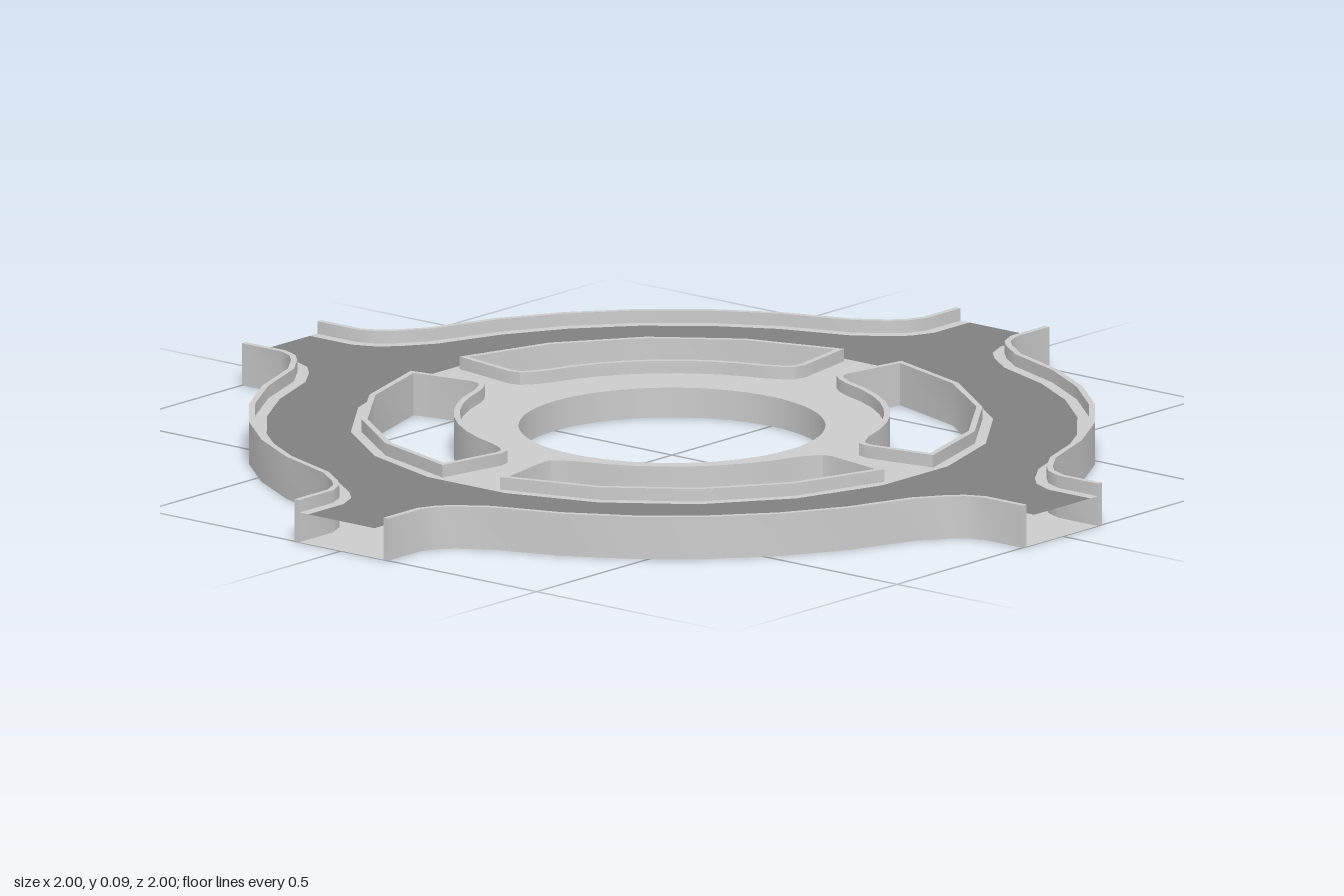
import * as THREE from 'three';
import { toCreasedNormals } from 'three/addons/utils/BufferGeometryUtils.js';

const DECK = 0.06, TOP = 0.085, RIM = 0.012;
const V = (x, y) => new THREE.Vector2(x, y);
const grey = new THREE.MeshStandardMaterial({ color: 0xcccccc, side: THREE.DoubleSide });
const dark = new THREE.MeshStandardMaterial({ color: 0x808080, side: THREE.DoubleSide });

// Points on an arc, angles in degrees
function arc(r, a0, a1, n) {
  return Array.from({ length: n + 1 }, (_, i) => {
    const a = THREE.MathUtils.degToRad(a0 + (a1 - a0) * i / n);
    return V(r * Math.cos(a), r * Math.sin(a));
  });
}

// Shift a polyline to its left by d, with mitred corners
function offset(pts, d, closed = false) {
  const n = pts.length;
  const normal = (i) => {
    const e = pts[(i + 1) % n].clone().sub(pts[(i + n) % n]).normalize();
    return V(-e.y, e.x);
  };
  return pts.map((p, i) => {
    const before = closed || i > 0 ? normal((i - 1 + n) % n) : normal(0);
    const after = closed || i < n - 1 ? normal(i) : before;
    return p.clone().addScaledVector(before.clone().add(after), d / (1 + before.dot(after)));
  });
}

const turn = (pts, q) => pts.map((p) => p.clone().rotateAround(V(0, 0), q * Math.PI / 2));
const allRound = (pts) => [0, 1, 2, 3].flatMap((q) => turn(pts, q));

function shape(pts, holes = []) {
  const s = new THREE.Shape(pts);
  s.holes = holes.map((h) => new THREE.Path(h));
  return s;
}

function add(group, name, geometry, material, y = 0) {
  const mesh = new THREE.Mesh(geometry, material);
  mesh.name = name;
  mesh.position.y = y;
  group.add(mesh);
}

const flat = (s) => new THREE.ShapeGeometry(s).rotateX(-Math.PI / 2);
const wall = (s) => toCreasedNormals(
  new THREE.ExtrudeGeometry(s, { depth: TOP, bevelEnabled: false }).rotateX(-Math.PI / 2), 0.5);

export function createModel() {
  const group = new THREE.Group();
  group.name = 'ringJunction';

  // One quadrant of the outer edge, from one arm to the next
  const edge = [
    V(1, 0.12), V(0.9, 0.12), V(0.865, 0.135), V(0.84, 0.16),
    ...arc(0.83, 15, 75, 6),
    V(0.16, 0.84), V(0.135, 0.865), V(0.12, 0.9), V(0.12, 1),
  ];
  const roadEdge = offset(edge, 0.035);

  // One of the four curved openings between the spokes
  const opening = [
    ...arc(0.597, 8, 82, 4),
    V(0.06, 0.46), V(0.064, 0.441), V(0.08, 0.428),
    ...arc(0.427, 75, 15, 8),
    V(0.428, 0.08), V(0.441, 0.064), V(0.46, 0.06),
  ];
  const openings = [0, 1, 2, 3].map((q) => turn(opening, q));
  const centre = arc(0.3, 0, 354, 59);
  const islandEdge = arc(0.63, 9, 351, 19);

  // Flat layers: underside, road and central island; the arm ends stay open
  add(group, 'underside', new THREE.ShapeGeometry(shape(allRound(edge), [...openings, centre]))
    .rotateX(Math.PI / 2), grey);
  add(group, 'road', flat(shape(allRound(roadEdge), [islandEdge])), dark, DECK);
  add(group, 'island', flat(shape(islandEdge, [...openings, centre])), grey, DECK);
  add(group, 'centreWall', new THREE.CylinderGeometry(0.3, 0.3, DECK, 60, 1, true), grey, DECK / 2);

  // Verge, outer wall and rimmed opening of each quadrant
  for (let q = 0; q < 4; q++) {
    const outer = turn(edge, q);
    add(group, 'verge', flat(shape([...outer, ...turn(roadEdge, q).reverse()])), grey, DECK);
    add(group, 'outerWall', wall(shape([...outer, ...offset(outer, RIM).reverse()])), grey);
    add(group, 'openingRim', wall(shape(offset(openings[q], -RIM, true), [openings[q]])), grey);
  }
  return group;
}
